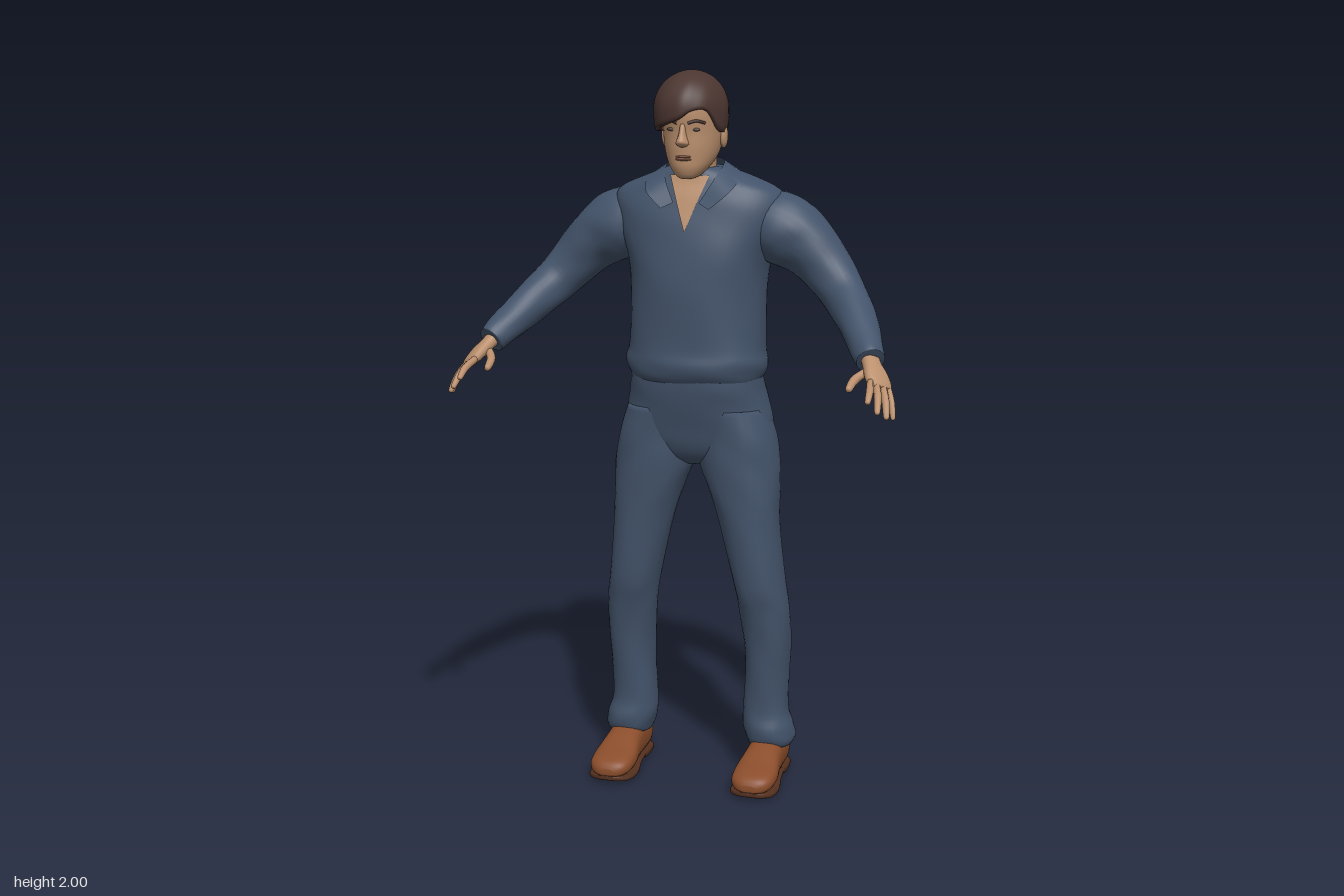
import * as THREE from 'three';

const V = (x, y, z) => new THREE.Vector3(x, y, z);
const mat = (name, color, side = THREE.FrontSide) => {
  const m = new THREE.MeshStandardMaterial({ color, side });
  m.name = name;
  return m;
};

// Skin over closed rings of points, optionally capped at both ends
function skinRings(rings, cap = true) {
  const n = rings[0].length, pos = [], idx = [];
  rings.forEach(r => r.forEach(p => pos.push(p.x, p.y, p.z)));
  for (let i = 0; i < rings.length - 1; i++) for (let j = 0; j < n; j++) {
    const a = i * n + j, b = i * n + (j + 1) % n, d = a + n, c = b + n;
    idx.push(a, d, b, b, d, c);
  }
  if (cap) [0, rings.length - 1].forEach((i, end) => {
    const c = rings[i].reduce((s, p) => s.add(p), V(0, 0, 0)).divideScalar(n);
    const k = pos.length / 3;
    pos.push(c.x, c.y, c.z);
    for (let j = 0; j < n; j++) {
      const a = i * n + j, b = i * n + (j + 1) % n;
      idx.push(k, end ? b : a, end ? a : b);
    }
  });
  const g = new THREE.BufferGeometry();
  g.setAttribute('position', new THREE.Float32BufferAttribute(pos, 3));
  g.setIndex(idx);
  g.computeVertexNormals();
  return g;
}

// Smoothly resample rows of numbers
function resample(rows, steps) {
  const out = [], last = rows.length - 1;
  for (let i = 0; i <= last * steps; i++) {
    const k = Math.min(Math.floor(i / steps), last - 1), t = i / steps - k;
    const [a, b, c, d] = [k - 1, k, k + 1, k + 2].map(q => rows[Math.max(0, Math.min(last, q))]);
    out.push(b.map((_, q) => b[q] + 0.5 * t * (c[q] - a[q] + t * (2 * a[q] - 5 * b[q] + 4 * c[q] - d[q]
      + t * (3 * (b[q] - c[q]) + d[q] - a[q])))));
  }
  return out;
}

// Loft along a path; rows are [x, y, z, radiusU, radiusV]
function loft(rows, { n = 28, p = 2, steps = 4, ref = V(0, 0, 1), axis = null, fold = 0 } = {}) {
  const rs = resample(rows, steps), pts = rs.map(r => V(r[0], r[1], r[2]));
  return skinRings(rs.map((r, i) => {
    const T = axis || pts[Math.min(i + 1, pts.length - 1)].clone().sub(pts[Math.max(i - 1, 0)]).normalize();
    const u = ref.clone().addScaledVector(T, -ref.dot(T)).normalize(), v = u.clone().cross(T);
    return Array.from({ length: n }, (_, j) => {
      const a = j / n * Math.PI * 2, c = Math.cos(a), s = Math.sin(a);
      const w = 1 + fold * (Math.sin(3 * a + i * 0.55) + Math.sin(5 * a - i * 0.8));
      return pts[i].clone()
        .addScaledVector(u, Math.sign(c) * Math.abs(c) ** (2 / p) * r[3] * w)
        .addScaledVector(v, Math.sign(s) * Math.abs(s) ** (2 / p) * r[4] * w);
    });
  }));
}

// Upright loft; rows ascend as [y, centreX, halfWidth, frontZ, backZ]
const upright = (rows, opt = {}) => loft(
  rows.map(([y, x, rx, f, b]) => [x, y, (f + b) / 2, rx, (f - b) / 2]),
  { axis: V(0, 1, 0), ref: V(1, 0, 0), ...opt });

// Loft running from heel to toe
const alongZ = (rows, opt) => loft(rows, { axis: V(0, 0, 1), ref: V(1, 0, 0), ...opt });

// Open sheet between two curves
function ribbon(a, b, n = 20, m = 4) {
  const A = new THREE.CatmullRomCurve3(a).getPoints(n), B = new THREE.CatmullRomCurve3(b).getPoints(n);
  const g = new THREE.PlaneGeometry(1, 1, n, m), p = g.attributes.position;
  for (let j = 0; j <= m; j++) for (let i = 0; i <= n; i++) {
    const q = A[i].clone().lerp(B[i], j / m);
    p.setXYZ(j * (n + 1) + i, q.x, q.y, q.z);
  }
  g.computeVertexNormals();
  return g;
}

function mirrored(geo) {
  const g = geo.clone().scale(-1, 1, 1), ix = g.index.array;
  for (let i = 0; i < ix.length; i += 3) [ix[i], ix[i + 1]] = [ix[i + 1], ix[i]];
  g.computeVertexNormals();
  return g;
}

export function createModel() {
  const root = new THREE.Group();
  root.name = 'standingMan';
  const cloth = mat('blueCloth', 0x43536a), collarCloth = mat('collarCloth', 0x43536a, THREE.DoubleSide);
  const skin = mat('skin', 0xba8f6d), chestSkin = mat('chestSkin', 0xba8f6d, THREE.DoubleSide);
  const hairMat = mat('hair', 0x4c3631, THREE.DoubleSide), lipMat = mat('lips', 0x9c6a54);
  const eyeMat = mat('eyes', 0x5a4a42), leather = mat('shoeLeather', 0x8a4d2b), soleMat = mat('shoeSole', 0x54301f);
  const add = (name, geo, m) => {
    const mesh = new THREE.Mesh(geo, m);
    mesh.name = name;
    root.add(mesh);
    return mesh;
  };
  const pair = (name, geo, m) => {
    add(name + 'Left', geo, m);
    add(name + 'Right', mirrored(geo), m);
  };

  // Shirt body with a bloused hem
  const shirt = add('shirtBody', upright([
    [1.15, 0, 0.175, 0.035, -0.205], [1.175, 0, 0.19, 0.052, -0.225], [1.21, 0, 0.199, 0.06, -0.238],
    [1.26, 0, 0.19, 0.055, -0.238], [1.4, 0, 0.188, 0.055, -0.262], [1.5, 0, 0.2, 0.048, -0.268],
    [1.58, 0, 0.228, 0.032, -0.266], [1.64, 0, 0.245, 0.014, -0.254], [1.68, 0, 0.222, 0, -0.235],
    [1.71, 0, 0.16, -0.01, -0.205], [1.735, 0, 0.095, -0.018, -0.175], [1.742, 0, 0.07, -0.03, -0.15],
  ], { n: 48, p: 2.3, fold: 0.006 }), cloth);

  // Sleeves
  pair('sleeve', loft([
    [0.14, 1.59, -0.12, 0.08, 0.075], [0.21, 1.58, -0.125, 0.1, 0.098], [0.265, 1.555, -0.125, 0.1, 0.095],
    [0.315, 1.52, -0.118, 0.083, 0.082], [0.365, 1.465, -0.105, 0.068, 0.071], [0.415, 1.41, -0.078, 0.06, 0.062],
    [0.46, 1.36, -0.02, 0.056, 0.056], [0.5, 1.31, 0.05, 0.048, 0.048], [0.525, 1.278, 0.098, 0.042, 0.042],
    [0.534, 1.266, 0.115, 0.038, 0.038],
  ], { fold: 0.014 }), cloth);

  // Trousers: seat and legs
  add('trouserSeat', upright([
    [0.915, 0, 0.05, -0.05, -0.13], [0.94, 0, 0.13, -0.015, -0.175], [0.98, 0, 0.19, 0.005, -0.2],
    [1.03, 0, 0.211, 0.018, -0.222], [1.09, 0, 0.2, 0.032, -0.238], [1.14, 0, 0.19, 0.042, -0.224],
    [1.19, 0, 0.182, 0.045, -0.21],
  ], { n: 40, p: 2.3, fold: 0.004 }), cloth);
  pair('trouserLeg', upright([
    [0.095, 0.212, 0.062, -0.055, -0.19], [0.115, 0.212, 0.07, -0.045, -0.197], [0.15, 0.205, 0.071, -0.042, -0.194],
    [0.2, 0.197, 0.064, -0.05, -0.19], [0.3, 0.201, 0.062, -0.045, -0.192], [0.4, 0.203, 0.066, -0.035, -0.19],
    [0.5, 0.196, 0.07, -0.018, -0.182], [0.58, 0.184, 0.072, -0.002, -0.17], [0.75, 0.156, 0.084, 0.006, -0.175],
    [0.85, 0.138, 0.1, 0.01, -0.184], [0.93, 0.121, 0.115, 0.01, -0.194], [1.0, 0.114, 0.11, 0.012, -0.207],
    [1.08, 0.1, 0.096, 0.015, -0.215],
  ], { p: 2.2, fold: 0.01 }), cloth);

  // Shoes and soles
  pair('shoe', alongZ([
    [0.21, 0.07, -0.193, 0.025, 0.03], [0.21, 0.065, -0.18, 0.044, 0.05], [0.21, 0.066, -0.09, 0.05, 0.056],
    [0.21, 0.06, -0.035, 0.054, 0.05], [0.21, 0.049, 0.025, 0.062, 0.036], [0.21, 0.042, 0.075, 0.059, 0.028],
    [0.21, 0.037, 0.1, 0.043, 0.021], [0.21, 0.032, 0.111, 0.02, 0.01],
  ], { p: 2.5 }), leather);
  pair('sole', alongZ([
    [0.21, 0.012, -0.197, 0.025, 0.011], [0.21, 0.012, -0.183, 0.046, 0.012], [0.21, 0.012, -0.11, 0.05, 0.012],
    [0.21, 0.018, -0.095, 0.05, 0.007], [0.21, 0.017, -0.04, 0.056, 0.007], [0.21, 0.009, 0.02, 0.066, 0.009],
    [0.21, 0.011, 0.075, 0.063, 0.009], [0.21, 0.015, 0.103, 0.045, 0.008], [0.21, 0.018, 0.115, 0.02, 0.006],
  ], { p: 4 }), soleMat);

  // Hands: palm, four fingers and thumb
  const across = V(0.71, -0.28, -0.64), knuckle = V(0.57, 1.216, 0.172);
  pair('palm', loft([
    [0.52, 1.284, 0.09, 0.025, 0.021], [0.54, 1.256, 0.125, 0.027, 0.019], [0.557, 1.234, 0.15, 0.036, 0.018],
    [0.571, 1.214, 0.173, 0.037, 0.014], [0.577, 1.206, 0.182, 0.032, 0.009],
  ], { n: 16, ref: across, p: 2.3 }), skin);
  const finger = (name, a, b, c, r) => pair(name, loft([
    [...a, r * 0.9, r], [...b, r, r], [...a.map((_, i) => b[i] + (c[i] - b[i]) * 0.85), r * 0.8, r * 0.75],
    [...c, r * 0.25, r * 0.25],
  ], { n: 10, ref: across }), skin);
  [['indexFinger', -0.028, 0.562, 1.183, 0.274], ['middleFinger', -0.009, 0.586, 1.155, 0.264],
    ['ringFinger', 0.01, 0.605, 1.138, 0.239], ['littleFinger', 0.027, 0.615, 1.13, 0.203],
  ].forEach(([name, off, x, y, z]) => {
    const a = knuckle.clone().addScaledVector(across, off), c = V(x, y, z);
    const b = a.clone().lerp(c, 0.5).add(V(0.003, 0.005, 0.003));
    finger(name, a.toArray(), b.toArray(), c.toArray(), name === 'littleFinger' ? 0.0085 : 0.01);
  });
  finger('thumb', [0.537, 1.245, 0.133], [0.508, 1.226, 0.177], [0.5, 1.205, 0.228], 0.012);

  // Neck and head
  add('neck', upright([
    [1.62, 0, 0.065, -0.03, -0.15], [1.7, 0, 0.058, -0.008, -0.145], [1.74, 0, 0.056, -0.005, -0.135],
    [1.79, 0, 0.06, 0, -0.14]]), skin);
  add('head', upright([
    [1.715, 0, 0.018, 0.028, -0.01], [1.724, 0, 0.034, 0.037, -0.04], [1.745, 0, 0.052, 0.045, -0.08],
    [1.77, 0, 0.066, 0.047, -0.12], [1.8, 0, 0.075, 0.049, -0.145], [1.84, 0, 0.081, 0.05, -0.165],
    [1.88, 0, 0.083, 0.055, -0.17], [1.92, 0, 0.08, 0.05, -0.165], [1.96, 0, 0.062, 0.02, -0.14],
    [1.985, 0, 0.03, -0.02, -0.09]], { n: 36, p: 2.1 }), skin);
  add('nose', upright([
    [1.801, 0, 0.008, 0.057, 0.03], [1.808, 0, 0.017, 0.07, 0.03], [1.816, 0, 0.016, 0.076, 0.03],
    [1.835, 0, 0.01, 0.067, 0.03], [1.862, 0, 0.008, 0.055, 0.03]], { n: 14 }), skin);
  [['upperLip', 1.775], ['lowerLip', 1.768]].forEach(([name, y]) =>
    add(name, new THREE.SphereGeometry(1, 14, 8).scale(0.024, 0.0045, 0.012).translate(0, y, 0.04), lipMat));
  const orb = (x, y, z, sx, sy, sz) => new THREE.SphereGeometry(1, 14, 10).scale(sx, sy, sz).translate(x, y, z);
  pair('ear', orb(0.082, 1.825, -0.06, 0.011, 0.032, 0.02), skin);
  pair('eye', orb(0.033, 1.847, 0.04, 0.013, 0.005, 0.006), eyeMat);
  pair('eyebrow', new THREE.TubeGeometry(new THREE.CatmullRomCurve3(
    [V(0.015, 1.864, 0.053), V(0.036, 1.87, 0.045), V(0.056, 1.864, 0.028)]), 8, 0.004, 6), hairMat);

  // Hair: a domed shell whose lower edge runs from side-swept fringe to nape
  const edge = [1.835, 1.845, 1.895, 1.897, 1.874, 1.862, 1.853, 1.845, 1.835, 1.842, 1.8, 1.783, 1.777, 1.783, 1.8, 1.842];
  const n = 64, edgeLine = resample([...edge, edge[0]].map(y => [y]), 4);
  const hairRings = [];
  for (let i = -1; i <= 16; i++) {
    const fall = Math.cos((1 - Math.max(i, 0) / 16) * Math.PI / 2), ring = [];
    for (let j = 0; j < n; j++) {
      const a = j / n * Math.PI * 2, yb = edgeLine[j][0], y = yb + (2 - yb) * fall;
      const h = (y - 1.895) / (y > 1.895 ? 0.105 : 0.12);
      let r = y > 1.895 ? Math.sqrt(Math.max(0, 1 - h * h)) : 1 - 0.2 * h * h;
      r *= (1 + 0.008 * Math.sin(9 * a + i * 0.3)) * (i < 0 ? 0.8 : 1);
      ring.push(V(-0.008 + 0.1 * r * Math.cos(a), y, -0.057 + 0.127 * r * Math.sin(a)));
    }
    hairRings.push(ring);
  }
  add('hair', skinRings(hairRings, false), hairMat);

  // Open neckline: a thin patch laid on the chest
  const patch = new THREE.PlaneGeometry(1, 1, 8, 16), pp = patch.attributes.position, ray = new THREE.Raycaster();
  for (let i = 0; i < pp.count; i++) {
    const t = pp.getY(i) + 0.5, y = 1.572 + 0.15 * t, x = pp.getX(i) * 2 * 0.055 * t;
    ray.set(V(x, y, 1), V(0, 0, -1));
    const hit = ray.intersectObject(shirt)[0];
    pp.setXYZ(i, x, y, (hit ? hit.point.z : 0) + 0.004);
  }
  patch.computeVertexNormals();
  add('openNeckline', patch, chestSkin);

  // Folded collar
  pair('collar', ribbon(
    [V(0, 1.762, -0.155), V(0.05, 1.76, -0.14), V(0.078, 1.752, -0.08), V(0.07, 1.715, -0.015), V(0.036, 1.65, 0.022)],
    [V(0, 1.722, -0.2), V(0.08, 1.722, -0.185), V(0.127, 1.722, -0.09), V(0.118, 1.68, 0.01), V(0.068, 1.635, 0.034)]),
  collarCloth);
  return root;
}
